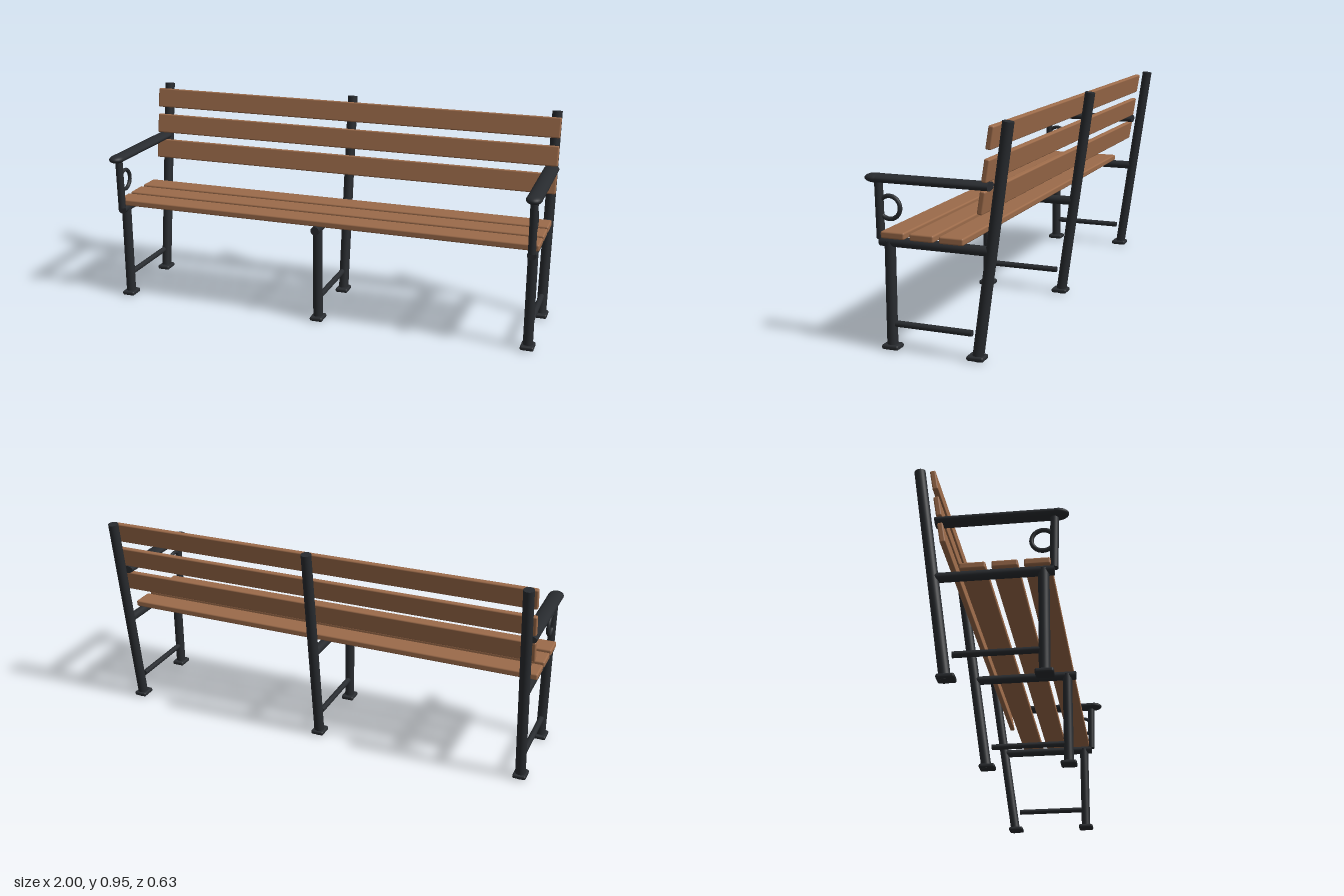
import * as THREE from 'three';
import { RoundedBoxGeometry } from 'three/addons/geometries/RoundedBoxGeometry.js';

export function createModel() {
  const bench = new THREE.Group();
  bench.name = 'bench';
  const metal = new THREE.MeshStandardMaterial({ color: 0x282b2f });
  const wood = new THREE.MeshStandardMaterial({ color: 0x9c6b4a });

  const add = (parent, name, geometry, material, x, y, z) => {
    const mesh = new THREE.Mesh(geometry, material);
    mesh.name = name;
    mesh.position.set(x, y, z);
    parent.add(mesh);
    return mesh;
  };

  // Round bar between two [y, z] points in the side plane
  const bar = (parent, name, [y0, z0], [y1, z1], radius) => {
    const direction = new THREE.Vector3(0, y1 - y0, z1 - z0);
    const geometry = new THREE.CylinderGeometry(radius, radius, direction.length(), 24);
    const mesh = add(parent, name, geometry, metal, 0, (y0 + y1) / 2, (z0 + z1) / 2);
    mesh.quaternion.setFromUnitVectors(new THREE.Vector3(0, 1, 0), direction.normalize());
    return mesh;
  };

  // Three support frames, the outer two carrying armrests
  for (const x of [-0.965, 0, 0.965]) {
    const frame = new THREE.Group();
    frame.name = 'supportFrame';
    frame.position.x = x;
    bench.add(frame);

    bar(frame, 'frontLeg', [0.01, 0.213], [0.45, 0.213], 0.022);
    bar(frame, 'backPost', [0.004, -0.158], [0.947, -0.29], 0.023);
    bar(frame, 'seatRail', [0.445, 0.254], [0.445, -0.21], 0.02);
    bar(frame, 'stretcher', [0.11, 0.2], [0.11, -0.135], 0.013);
    for (const z of [0.213, -0.155]) {
      add(frame, 'foot', new RoundedBoxGeometry(0.06, 0.02, 0.072, 3, 0.008), metal, 0, 0.015, z);
    }
    if (x === 0) continue;

    // Armrest: flattened bar with a rounded front end
    const arm = bar(frame, 'armrest', [0.697, 0.272], [0.697, -0.216], 1);
    arm.scale.set(0.034, 1, 0.018);
    const nose = add(frame, 'armrestNose', new THREE.SphereGeometry(1, 24, 16), metal, 0, 0.697, 0.27);
    nose.scale.set(0.035, 0.019, 0.045);

    // Arm post and decorative ring
    bar(frame, 'armPost', [0.455, 0.253], [0.695, 0.258], 0.017);
    const ring = add(frame, 'ring', new THREE.TorusGeometry(0.046, 0.009, 12, 40), metal, 0, 0.582, 0.212);
    ring.rotation.y = Math.PI / 2;
  }

  // Seat slats
  for (const z of [0.19, 0.064, -0.062]) {
    add(bench, 'seatSlat', new RoundedBoxGeometry(1.986, 0.029, 0.103, 3, 0.007), wood, 0, 0.476, z);
  }

  // Leaning back slats
  for (const [y, z] of [[0.635, -0.188], [0.759, -0.207], [0.885, -0.225]]) {
    const slat = add(bench, 'backSlat', new RoundedBoxGeometry(1.986, 0.092, 0.023, 3, 0.006), wood, 0, y, z);
    slat.rotation.x = -0.16;
  }
  return bench;
}
